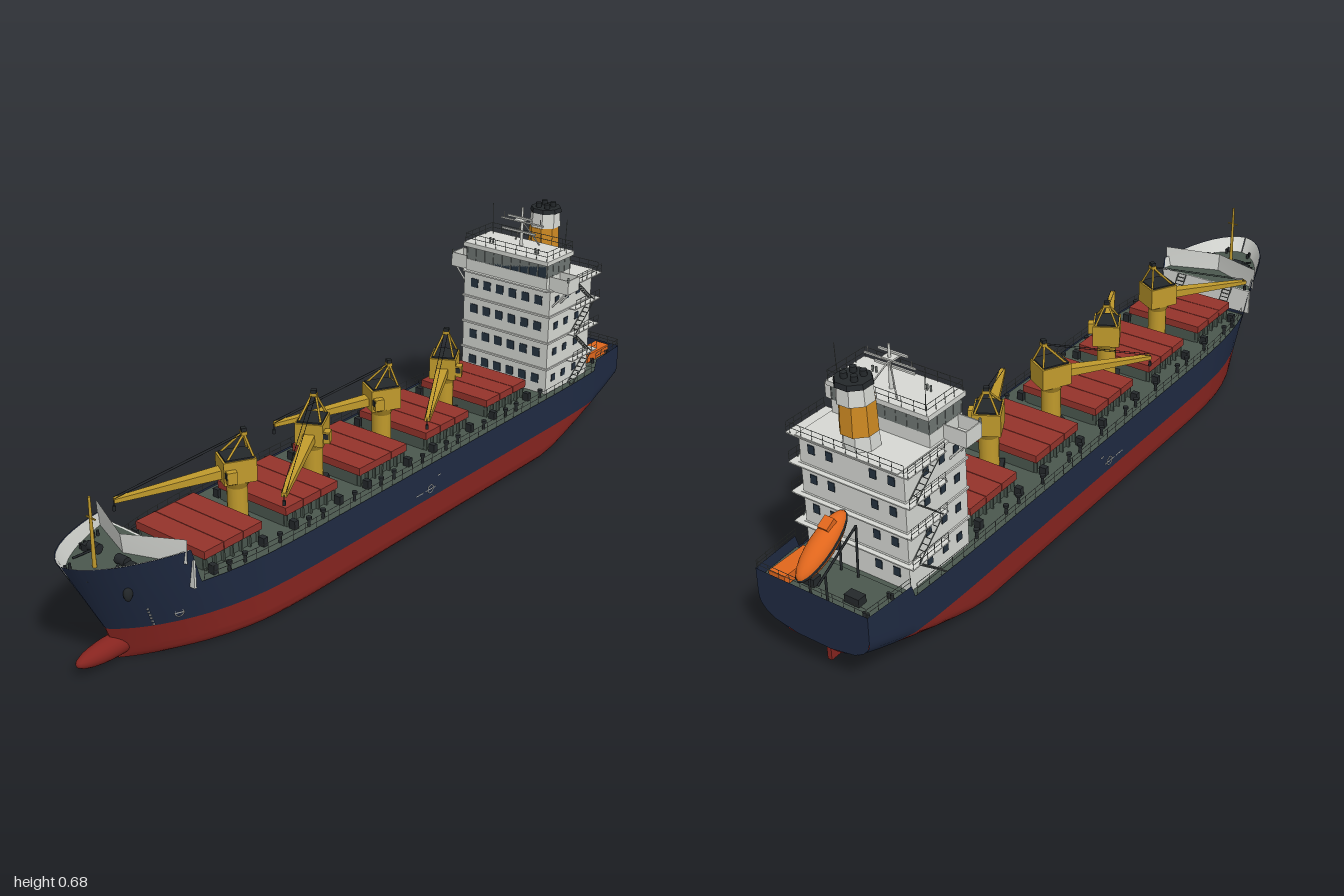
import * as THREE from 'three';
import { mergeGeometries, toCreasedNormals } from 'three/addons/utils/BufferGeometryUtils.js';
import { ConvexGeometry } from 'three/addons/geometries/ConvexGeometry.js';

const C = { navy: 0x1f2a42, red: 0x86241f, hatch: 0x94332b, deck: 0x4a574e, white: 0xd6d8d3, yellow: 0xc09a2c,
  dark: 0x24282b, glass: 0x25323f, orange: 0xe0661c, band: 0xcf8a22, steel: 0x6f7673, brass: 0xb08d3c };
const V = (x, y, z) => new THREE.Vector3(x, y, z);
const lerp = THREE.MathUtils.lerp, clamp = THREE.MathUtils.clamp;
const SIDES = [-1, 1];

// geometry helpers
const box = (w, h, d, x, y, z) => new THREE.BoxGeometry(w, h, d).translate(x, y, z);
const cyl = (r0, r1, h, x, y, z, n = 10) => new THREE.CylinderGeometry(r1, r0, h, n).translate(x, y + h / 2, z);
function bar(a, b, r = 0.0012, n = 5) {
  const d = b.clone().sub(a);
  return new THREE.CylinderGeometry(r, r, d.length(), n)
    .applyQuaternion(new THREE.Quaternion().setFromUnitVectors(V(0, 1, 0), d.normalize()))
    .translate((a.x + b.x) / 2, (a.y + b.y) / 2, (a.z + b.z) / 2);
}
function rail(pts, h = 0.026, r = 0.0009) {
  const out = [], up = (p, t) => p.clone().setY(p.y + h * t);
  pts.forEach((p, i) => {
    out.push(bar(p, up(p, 1), r, 4));
    if (i) for (const t of [0.5, 1]) out.push(bar(up(pts[i - 1], t), up(p, t), r, 4));
  });
  return out;
}
const line = (a, b, n) => Array.from({ length: n + 1 }, (_, i) => a.clone().lerp(b, i / n));
function stairs(a, b, width, axis) {
  const off = axis === 'x' ? V(width / 2, 0, 0) : V(0, 0, width / 2), out = [];
  for (const s of SIDES) {
    const o = off.clone().multiplyScalar(s);
    out.push(bar(a.clone().add(o), b.clone().add(o), 0.0016, 4));
  }
  for (const p of line(a, b, 8)) out.push(bar(p.clone().add(off), p.clone().sub(off), 0.0014, 4));
  return out;
}
function part(parent, name, color, geos, side = THREE.FrontSide) {
  const list = [].concat(geos).map(g => {
    const n = g.index ? g.toNonIndexed() : g;
    n.deleteAttribute('uv');
    return n;
  });
  const m = new THREE.Mesh(mergeGeometries(list), new THREE.MeshStandardMaterial({ color, side }));
  m.name = name;
  parent.add(m);
  return m;
}
function loft(rows) {
  const pos = rows.flat(2), idx = [], n = rows[0].length;
  for (let i = 0; i + 1 < rows.length; i++) for (let j = 0; j + 1 < n; j++) {
    const a = i * n + j, b = a + n;
    idx.push(a, b, a + 1, b, b + 1, a + 1);
  }
  const g = new THREE.BufferGeometry();
  g.setAttribute('position', new THREE.Float32BufferAttribute(pos, 3));
  g.setIndex(idx);
  return toCreasedNormals(g, 0.5);
}

// hull form: keel line, sheer line and half breadth
const sternT = z => clamp((-0.58 - z) / 0.385, 0, 1);
const keel = z => 0.088 * Math.pow(sternT(z), 1.15);
const sheer = z => z < -0.825 ? 0.218 : z < 0.76 ? 0.186 : lerp(0.28, 0.292, (z - 0.76) / 0.24);
const stem = y => y < 0.09 ? lerp(0.865, 0.895, y / 0.09) : lerp(0.895, 1, Math.min(1, (y - 0.09) / 0.2));
function half(z, y) {
  const a = sternT(z), q = clamp((z - 0.35) / 0.65, 0, 1), v = clamp(y / 0.29, 0, 1);
  const bow = Math.pow(1 - Math.pow(q, lerp(2.3, 3, v)), lerp(0.9, 0.55, v));
  const rw = 0.03 + 0.08 * a, rh = 0.03 + 0.03 * a, t = clamp((y - keel(z)) / rh, 0, 1);
  return Math.max(0.0015, bow * (0.171 - 0.015 * a * a - rw + rw * Math.sqrt(1 - (1 - t) * (1 - t))));
}
const hullPoint = (s, z, y, inset = 0) =>
  [s * Math.max(0.001, half(z, y) - inset), y, z + Math.max(0, (z - 0.55) / 0.45) * (stem(y) - 1)];
const atHull = (s, z, y, inset = 0) => V(...hullPoint(s, z, y, inset));
const STATIONS = [-0.965, -0.93, -0.88, -0.83, -0.82, -0.75, -0.68, -0.62, -0.56, -0.3, 0, 0.3, 0.4, 0.48, 0.55,
  0.62, 0.69, 0.755, 0.765, 0.8, 0.84, 0.88, 0.91, 0.94, 0.965, 0.985, 0.995, 1];
const wall = (s, zs, y0, y1, n, inset = 0) => loft(zs.map(z =>
  Array.from({ length: n + 1 }, (_, i) => hullPoint(s, z, lerp(y0(z), y1(z), i / n), inset))));
const plate = (zs, y, inset) => loft(zs.map(z => [hullPoint(-1, z, y, inset), hullPoint(1, z, y, inset)]));

function buildHull(g) {
  const wl = () => 0.09, fore = STATIONS.filter(z => z > 0.76), aft = STATIONS.filter(z => z < -0.825);
  part(g, 'lowerHull', C.red, [...SIDES.map(s => wall(s, STATIONS, keel, wl, 12)),
    loft(STATIONS.map(z => [hullPoint(-1, z, keel(z)), hullPoint(1, z, keel(z))]))], THREE.DoubleSide);
  part(g, 'upperHull', C.navy, SIDES.map(s => wall(s, STATIONS, wl, sheer, 8)), THREE.DoubleSide);
  const edge = [0.088, 0.1, 0.115, 0.13, 0.15, 0.218].map(y => new THREE.Vector2(half(-0.965, y), y));
  const tr = new THREE.Shape([...edge, ...edge.map(p => new THREE.Vector2(-p.x, p.y)).reverse()]);
  part(g, 'transom', C.navy, new THREE.ShapeGeometry(tr).translate(0, 0, -0.965), THREE.DoubleSide);
  part(g, 'bulwarkLining', C.white, SIDES.map(s => wall(s, fore, () => 0.25, sheer, 2, 0.003)), THREE.DoubleSide);
  part(g, 'mainDeck', C.deck, [plate(STATIONS.filter(z => z < 0.77), 0.181, 0.001),
    plate(fore, 0.251, 0.002), plate(aft, 0.19, 0.002)], THREE.DoubleSide);
  part(g, 'bulbousBow', C.red, new THREE.SphereGeometry(1, 20, 14).scale(0.027, 0.027, 0.11).translate(0, 0.037, 0.873));
  // skeg, rudder and propeller
  const sk = [];
  for (const s of SIDES) sk.push(V(s * 0.09, 0.012, -0.58), V(s * 0.05, 0.001, -0.56), V(s * 0.012, 0.001, -0.795),
    V(s * 0.012, 0.06, -0.795), V(s * 0.012, 0.07, -0.86));
  part(g, 'skeg', C.red, new ConvexGeometry(sk));
  part(g, 'rudder', C.red, [box(0.012, 0.08, 0.066, 0, 0.05, -0.892), cyl(0.008, 0.008, 0.03, 0, 0.08, -0.88)]);
  const blades = [new THREE.SphereGeometry(0.008, 10, 8).scale(1, 1, 1.7).translate(0, 0.042, -0.815)];
  for (let i = 0; i < 4; i++) blades.push(new THREE.SphereGeometry(1, 10, 6).scale(0.01, 0.015, 0.002).rotateY(0.5)
    .translate(0, 0.016, 0).rotateZ(i * Math.PI / 2 + 0.4).translate(0, 0.042, -0.817));
  part(g, 'propeller', C.brass, blades);
  // anchors, draught marks and hull marks
  const pockets = [], marks = [];
  for (const s of SIDES) {
    const p = atHull(s, 0.925, 0.205);
    pockets.push(new THREE.SphereGeometry(1, 12, 8).scale(0.009, 0.02, 0.012).translate(p.x, p.y, p.z));
    for (let i = 0; i < 6; i++) {
      const m = atHull(s, 0.9, 0.095 + i * 0.01);
      marks.push(box(0.004, 0.003, 0.004, m.x, m.y, m.z));
    }
    for (const [z, r] of [[-0.045, 0.011], [0.83, 0.01]]) {
      const m = atHull(s, z, 0.115), turn = z > 0 ? s * (Math.PI / 2 - 0.45) : Math.PI / 2;
      marks.push(new THREE.TorusGeometry(r, 0.0013, 4, 20).rotateY(turn).translate(m.x, m.y, m.z));
      marks.push(box(r * (z > 0 ? 2 : 4), 0.002, 0.002, 0, 0, 0).rotateY(turn).translate(m.x, m.y, m.z));
    }
    marks.push(box(0.002, 0.002, 0.03, s * 0.171, 0.115, 0), box(0.002, 0.002, 0.012, s * 0.171, 0.142, -0.08));
  }
  part(g, 'anchorPockets', C.dark, pockets);
  part(g, 'hullMarks', C.white, marks);
}

function buildForecastle(g) {
  part(g, 'forecastleBulkhead', C.white, box(0.288, 0.07, 0.006, 0, 0.216, 0.755));
  const bw = SIDES.map(s => loft([[[0, 0.25, 0.83], [0, 0.3, 0.835]], [[s * 0.143, 0.25, 0.775], [s * 0.146, 0.311, 0.775]]]));
  part(g, 'breakwater', C.white, bw, THREE.DoubleSide);
  part(g, 'foremast', C.yellow, [cyl(0.005, 0.003, 0.17, 0, 0.25, 0.91), box(0.03, 0.003, 0.003, 0, 0.37, 0.91)]);
  const gear = [];
  for (const s of SIDES) {
    gear.push(new THREE.CylinderGeometry(0.012, 0.012, 0.03, 12).rotateZ(Math.PI / 2).translate(s * 0.045, 0.266, 0.87),
      box(0.02, 0.016, 0.022, s * 0.068, 0.259, 0.87), bar(V(s * 0.045, 0.262, 0.88), V(s * 0.06, 0.255, 0.92), 0.003));
    for (const [x, z] of [[0.1, 0.82], [0.085, 0.87], [0.035, 0.955]])
      for (const d of [-0.006, 0.006]) gear.push(cyl(0.0035, 0.0035, 0.013, s * x, 0.251, z + d));
  }
  part(g, 'windlasses', C.dark, gear);
  part(g, 'forecastleStairs', C.steel, SIDES.flatMap(s => stairs(V(s * 0.075, 0.182, 0.7), V(s * 0.075, 0.25, 0.75), 0.025, 'x')));
}

function buildCargoDeck(g) {
  const cover = [], coaming = [], fit = [];
  for (const z of [-0.457, -0.192, 0.072, 0.338, 0.602]) {
    coaming.push(box(0.2, 0.035, 0.176, 0, 0.198, z));
    for (const i of [-1, 0, 1]) cover.push(box(0.222, 0.02, 0.06, 0, 0.223, z + i * 0.0618));
    for (const s of SIDES) {
      for (let i = -3; i <= 3; i++) coaming.push(box(0.01, 0.034, 0.004, s * 0.104, 0.197, z + i * 0.028));
      for (const d of [-0.08, 0.08]) fit.push(box(0.018, 0.022, 0.014, s * 0.125, 0.192, z + d));
      for (const d of [-0.115, 0, 0.05]) fit.push(cyl(0.004, 0.004, 0.02, s * 0.145, 0.181, z + d),
        cyl(0.007, 0.007, 0.006, s * 0.145, 0.2, z + d));
    }
  }
  part(g, 'hatchCoamings', C.deck, coaming);
  part(g, 'hatchCovers', C.hatch, cover);
  part(g, 'deckFittings', C.dark, fit);
  part(g, 'deckRails', C.steel, SIDES.flatMap(s =>
    rail(Array.from({ length: 40 }, (_, i) => atHull(s, lerp(-0.81, 0.745, i / 39), 0.186, 0.003)))));
}

function buildCrane(z, s) {
  const g = new THREE.Group();
  g.name = 'deckCrane';
  part(g, 'craneBody', C.yellow, [cyl(0.025, 0.025, 0.12, 0, 0, 0, 14), cyl(0.025, 0.036, 0.02, 0, 0.095, 0, 14),
    box(0.07, 0.058, 0.08, 0, 0.143, 0), box(0.022, 0.03, 0.024, 0.04, 0.138, 0.024)]);
  part(g, 'craneRoof', C.dark, [box(0.062, 0.004, 0.07, 0, 0.174, 0), box(0.016, 0.014, 0.002, 0.04, 0.142, 0.037),
    box(0.07, 0.014, 0.05, 0, 0.007, 0)]);
  const top = V(0, 0.226, -0.02), frame = [box(0.018, 0.008, 0.014, 0, 0.226, -0.02)], wires = [], tip = V(0, 0.11, 0.29);
  for (const x of SIDES) {
    for (const dz of [0.03, -0.035]) frame.push(bar(V(x * 0.028, 0.172, dz), V(x * 0.005, 0.226, -0.02), 0.003, 6));
    wires.push(bar(V(x * 0.005, top.y, top.z), V(x * 0.005, tip.y + 0.006, tip.z), 0.0008, 4));
  }
  part(g, 'craneFrame', C.yellow, frame);
  part(g, 'craneWires', C.dark, [...wires, box(0.014, 0.012, 0.012, 0, 0.233, -0.02), bar(tip, V(0, 0.09, 0.29), 0.0012), cyl(0.004, 0.004, 0.012, 0, 0.084, 0.29)]);
  const jib = [];
  for (const x of SIDES) for (const y of SIDES) jib.push(V(x * 0.015, 0.135 + y * 0.011, 0.035), V(x * 0.007, tip.y + y * 0.005, tip.z));
  part(g, 'craneJib', C.yellow, new ConvexGeometry(jib));
  g.position.set(0, 0.181, z);
  g.rotation.y = s * 0.5;
  return g;
}

function buildHouse(g) {
  const zf = -0.6, zb = -0.81, zm = (zf + zb) / 2, decks = [0.255, 0.333, 0.41, 0.485];
  part(g, 'accommodationBlock', C.white, [box(0.288, 0.305, 0.21, 0, 0.333, zm),
    ...decks.map(y => box(0.296, 0.005, 0.218, 0, y, zm)), box(0.28, 0.004, 0.24, 0, 0.487, -0.705)]);
  const win = [];
  for (const y of [0.222, 0.3, 0.377, 0.453]) {
    for (let i = -2.5; i <= 2.5; i++) win.push(box(0.024, 0.025, 0.004, i * 0.043, y, zf));
    for (const x of [-0.11, -0.06, 0.06, 0.11]) win.push(box(0.018, 0.022, 0.004, x, y, zb));
    for (const z of [-0.635, -0.685, -0.74]) win.push(box(0.292, 0.02, 0.018, 0, y, z));
  }
  part(g, 'cabinWindows', C.glass, win);
  // bridge, wings and their struts
  const white = [box(0.27, 0.036, 0.115, 0, 0.503, -0.652), box(0.28, 0.012, 0.13, 0, 0.565, -0.652), box(0.39, 0.006, 0.055, 0, 0.487, -0.635)];
  for (const s of SIDES) {
    for (const z of [-0.609, -0.661]) white.push(box(0.06, 0.038, 0.003, s * 0.165, 0.505, z));
    white.push(box(0.003, 0.038, 0.055, s * 0.194, 0.505, -0.635));
    for (const z of [-0.615, -0.655]) white.push(bar(V(s * 0.185, 0.485, z), V(s * 0.143, 0.437, z), 0.0028, 6));
  }
  part(g, 'bridge', C.white, white);
  part(g, 'bridgeWindows', C.glass, box(0.268, 0.04, 0.113, 0, 0.541, -0.652));
  const mull = [];
  for (let i = 0; i <= 9; i++) mull.push(box(0.003, 0.04, 0.117, lerp(-0.133, 0.133, i / 9), 0.541, -0.652));
  for (let i = 0; i <= 4; i++) mull.push(box(0.271, 0.04, 0.003, 0, 0.541, lerp(-0.708, -0.597, i / 4)));
  part(g, 'windowPosts', C.steel, mull);
  // outside stairs, landings and rails
  const steel = [], land = [];
  for (const s of SIDES) {
    [0.182, ...decks].forEach((y, i, a) => {
      if (i) {
        land.push(box(0.024, 0.003, 0.13, s * 0.155, y, -0.76));
        steel.push(...rail(line(V(s * 0.166, y, -0.7), V(s * 0.166, y, -0.823), 5)));
        const d = i % 2 ? 1 : -1;
        steel.push(...stairs(V(s * 0.155, a[i - 1], -0.755 + d * 0.045), V(s * 0.155, y, -0.755 - d * 0.045), 0.018, 'x'));
        land.push(box(0.31, 0.003, 0.018, 0, y, -0.817));
      }
    });
    steel.push(...rail(line(V(s * 0.135, 0.571, -0.59), V(s * 0.135, 0.571, -0.715), 4)));
    steel.push(bar(V(s * 0.12, 0.571, -0.7), V(s * 0.123, 0.66, -0.7), 0.001), cyl(0.003, 0.003, 0.014, s * 0.193, 0.518, -0.61));
    for (const x of [0.07, 0.08]) steel.push(cyl(0.002, 0.003, 0.014, s * x, 0.571, -0.63));
  }
  for (const z of [-0.59, -0.715]) steel.push(...rail(line(V(-0.135, 0.571, z), V(0.135, 0.571, z), 8)));
  steel.push(...rail(line(V(-0.155, 0.487, -0.823), V(0.155, 0.487, -0.823), 10)));
  part(g, 'landings', C.white, land);
  part(g, 'stairsAndRails', C.steel, steel);
  // radar mast
  const mz = -0.665, mast = [cyl(0.005, 0.003, 0.108, 0, 0.571, mz, 8), box(0.14, 0.004, 0.004, 0, 0.638, mz),
    box(0.08, 0.005, 0.005, 0, 0.653, mz + 0.012), box(0.03, 0.004, 0.03, 0, 0.645, mz + 0.006), box(0.11, 0.005, 0.005, 0, 0.615, mz + 0.015)];
  for (const s of SIDES) mast.push(bar(V(s * 0.04, 0.571, mz - 0.03), V(0, 0.64, mz), 0.002), bar(V(s * 0.06, 0.638, mz), V(s * 0.06, 0.655, mz)));
  part(g, 'radarMast', C.white, mast);
  // funnel, raked slightly aft
  const slab = (y0, y1, k = 1) => {
    const geo = new THREE.CylinderGeometry(0.041 * k, 0.044 * k, y1 - y0, 8).rotateY(Math.PI / 8);
    return geo.translate(0, (y0 + y1) / 2, -0.769 - ((y0 + y1) / 2 - 0.487) * 0.08).toNonIndexed();
  };
  const flat = geo => (geo.computeVertexNormals(), geo);
  part(g, 'funnel', C.white, [flat(slab(0.487, 0.527)), flat(slab(0.602, 0.643))]);
  part(g, 'funnelBand', C.band, flat(slab(0.527, 0.602, 1.01)));
  const pipes = [flat(slab(0.643, 0.655, 1.02))];
  for (const x of [-0.014, 0.014]) for (const z of [-0.765, -0.795]) pipes.push(cyl(0.008, 0.008, 0.018, x, 0.65, z));
  part(g, 'funnelTop', C.dark, pipes);
}

function buildStern(g) {
  const boat = new THREE.Group();
  boat.name = 'freeFallLifeboat';
  const hull = (k, ...a) => new THREE.SphereGeometry(1, 20, 14, ...a).scale(0.03 * k, 0.029 * k, 0.09 * k);
  part(boat, 'lifeboatHull', C.orange, [hull(1), box(0.026, 0.016, 0.03, 0, 0.026, 0.04)]);
  part(boat, 'lifeboatStripe', C.dark, hull(1.015, 0, Math.PI * 2, 1.42, 0.3), THREE.DoubleSide);
  boat.position.set(0, 0.31, -0.918);
  boat.rotation.x = -0.52;
  g.add(boat);
  const ramp = [];
  for (const s of SIDES) {
    const a = V(s * 0.024, 0.322, -0.835), b = V(s * 0.024, 0.245, -0.965);
    ramp.push(bar(a, b, 0.003), bar(V(s * 0.024, 0.19, -0.84), a, 0.003), bar(V(s * 0.024, 0.19, -0.94), V(s * 0.024, 0.26, -0.94), 0.003));
    for (const z of [-0.86, -0.94]) for (const x of [0.125, 0.135]) ramp.push(cyl(0.004, 0.004, 0.014, s * x, 0.19, z));
  }
  ramp.push(box(0.04, 0.02, 0.025, -0.075, 0.2, -0.91), box(0.04, 0.02, 0.025, 0.05, 0.2, -0.91));
  part(g, 'lifeboatRamp', C.dark, ramp);
  part(g, 'rescueBoat', C.orange, box(0.045, 0.025, 0.11, 0.105, 0.205, -0.9));
  part(g, 'sternRails', C.steel, [...rail(line(V(-0.15, 0.218, -0.963), V(0.15, 0.218, -0.963), 10), 0.02),
    ...SIDES.flatMap(s => rail([-0.83, -0.86, -0.9, -0.93, -0.963].map(z => atHull(s, z, 0.218, 0.002)), 0.02))]);
}

export function createModel() {
  const g = new THREE.Group();
  g.name = 'cargoShip';
  for (const build of [buildHull, buildForecastle, buildCargoDeck, buildHouse, buildStern]) build(g);
  [0.475, 0.21, -0.055, -0.322].forEach((z, i) => g.add(buildCrane(z, i % 2 ? 1 : -1)));
  return g;
}
